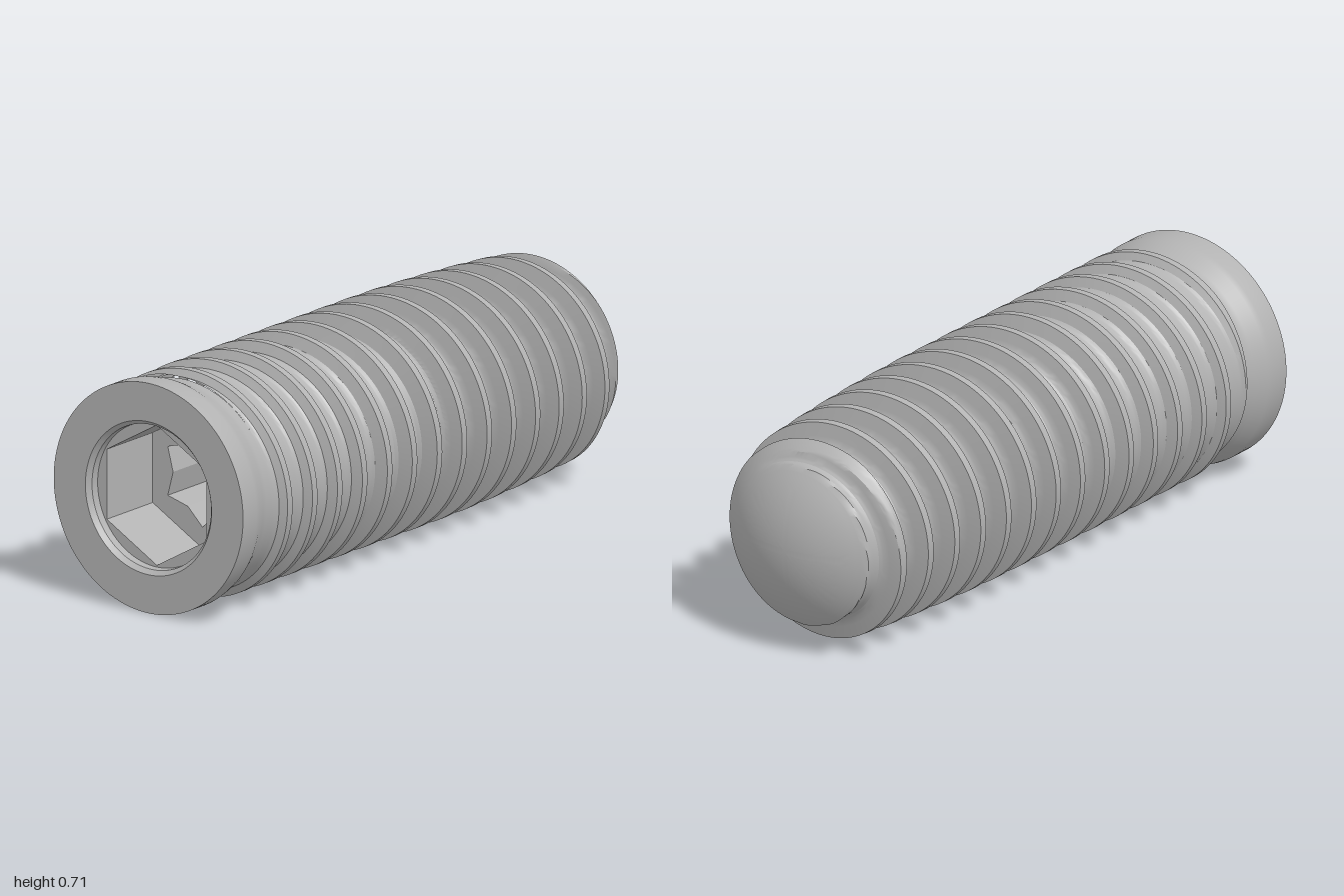
import * as THREE from 'three';
import { toCreasedNormals } from 'three/addons/utils/BufferGeometryUtils.js';

const PITCH = 0.1197, CREST_X = 0.033;      // helix lead and crest position at the top
const START = -0.83, END = 0.93;            // extent of the threaded body
const NOSE_R = 0.415, NOSE_X = 0.585;       // sphere that rounds the tip
const SEG = 120;

// Linear interpolation through [x, value] points
function lerpTable(table, x) {
  for (let i = 1; i < table.length; i++) {
    const [x0, v0] = table[i - 1], [x1, v1] = table[i];
    if (x <= x1) return v0 + (v1 - v0) * Math.max(0, (x - x0) / (x1 - x0));
  }
  return table[table.length - 1][1];
}

const CORE = [[-0.83, 0.326], [-0.4, 0.312], [0, 0.289], [0.95, 0.246]];
const TOOTH = [[0, 1], [0.1, 1], [0.2, 0.2], [0.27, 0.05], [0.36, 0], [0.5, 0]];

const noseRadius = (x) => Math.sqrt(Math.max(0, NOSE_R ** 2 - (x - NOSE_X) ** 2));

// Body radius: tapered core plus helical tooth, cut by the nose sphere
function bodyRadius(x, turn) {
  let s = (x - CREST_X) / PITCH - turn;
  s -= Math.round(s);
  const crest = 0.353 - 0.058 * Math.max(0, x - 0.1) ** 2;
  const core = lerpTable(CORE, x);
  const runIn = THREE.MathUtils.smoothstep(x - s * PITCH, -0.86, -0.8);
  const r = core + (crest - core) * lerpTable(TOOTH, Math.abs(s)) * runIn;
  return x > NOSE_X ? Math.min(r, noseRadius(x)) : r;
}

// Threaded surface whose grid lines follow the helix
function threadGeometry() {
  const half = [0.05, 0.1, 0.133, 0.167, 0.2, 0.235, 0.27, 0.315, 0.36, 0.43];
  const steps = [-0.5, ...half.map((v) => -v).reverse(), 0, ...half];
  const columns = [];
  for (let i = 0; i <= SEG; i++) {
    const turn = i / SEG, a = turn * Math.PI * 2, column = [];
    for (let k = -9; k <= 8; k++) {
      for (const s of steps) {
        const x = THREE.MathUtils.clamp(CREST_X + PITCH * (k + s + turn), START, END);
        const r = bodyRadius(x, turn);
        column.push(new THREE.Vector3(x, r * Math.cos(a), r * Math.sin(a)));
      }
    }
    columns.push(column);
  }
  const pos = [];
  const tri = (a, b, c) => {
    if (a.distanceTo(b) < 1e-6 || b.distanceTo(c) < 1e-6 || c.distanceTo(a) < 1e-6) return;
    if (a.x === b.x && b.x === c.x) return;
    for (const p of [a, b, c]) pos.push(p.x, p.y, p.z);
  };
  for (let i = 0; i < SEG; i++) {
    for (let j = 0; j < columns[0].length - 1; j++) {
      const a = columns[i][j], b = columns[i + 1][j];
      const c = columns[i + 1][j + 1], d = columns[i][j + 1];
      tri(a, b, c);
      tri(a, c, d);
    }
  }
  const g = new THREE.BufferGeometry();
  g.setAttribute('position', new THREE.Float32BufferAttribute(pos, 3));
  return toCreasedNormals(g, 0.5);
}

// Revolve [x, radius] points about the x axis
function revolve(points, crease = 0.6) {
  const g = new THREE.LatheGeometry(points.map(([x, r]) => new THREE.Vector2(r, x)), SEG);
  g.rotateZ(-Math.PI / 2);
  return toCreasedNormals(g.toNonIndexed(), crease);
}

// Round block with a polygonal hole, running from x0 to x1
function socketRing(x0, x1, outer, holePoints) {
  const shape = new THREE.Shape().absarc(0, 0, outer, 0, Math.PI * 2);
  shape.holes.push(new THREE.Path(holePoints));
  const g = new THREE.ExtrudeGeometry(shape, { depth: x1 - x0, bevelEnabled: false, curveSegments: 48 });
  return g.rotateY(Math.PI / 2).translate(x0, 0, 0);
}

// Points around a circle, starting at the top, with alternating radii
function ringPoints(count, radii) {
  return Array.from({ length: count }, (_, i) => {
    const a = Math.PI / 2 - (i / count) * Math.PI * 2, r = radii[i % radii.length];
    return new THREE.Vector2(r * Math.cos(a), r * Math.sin(a));
  });
}

export function createModel() {
  const group = new THREE.Group();
  const metal = new THREE.MeshStandardMaterial({ color: 0xb2b2b2 });
  metal.name = 'grey metal';
  const add = (name, geometry) => {
    const mesh = new THREE.Mesh(geometry, metal);
    mesh.name = name;
    mesh.position.y = 0.353;
    group.add(mesh);
  };

  add('threadedBody', threadGeometry());

  // Collar with its flat end face and the mouth of the socket
  add('collar', revolve([
    [-0.95, 0.22], [-0.985, 0.222], [-1, 0.235], [-1, 0.353], [-0.935, 0.353],
    [-0.915, 0.349], [-0.875, 0.331], [-0.855, 0.327], [START, 0.326],
  ], 0.5));

  // Rounded tip
  const tip = [];
  const edge = Math.acos((END - NOSE_X) / NOSE_R);
  for (let i = 0; i <= 16; i++) {
    const a = edge * (1 - i / 16);
    tip.push([NOSE_X + NOSE_R * Math.cos(a), i === 16 ? 0 : NOSE_R * Math.sin(a)]);
  }
  add('roundedTip', revolve(tip));

  // Hexagonal socket, star-shaped bore and its floor
  add('hexSocket', socketRing(-0.96, -0.74, 0.225, ringPoints(6, [0.215])));
  add('starBore', socketRing(-0.74, -0.5, 0.225, ringPoints(12, [0.15, 0.11])));
  const floor = new THREE.CylinderGeometry(0.2, 0.2, 0.02, 48).rotateZ(Math.PI / 2);
  add('boreFloor', floor.translate(-0.49, 0, 0));

  return group;
}
